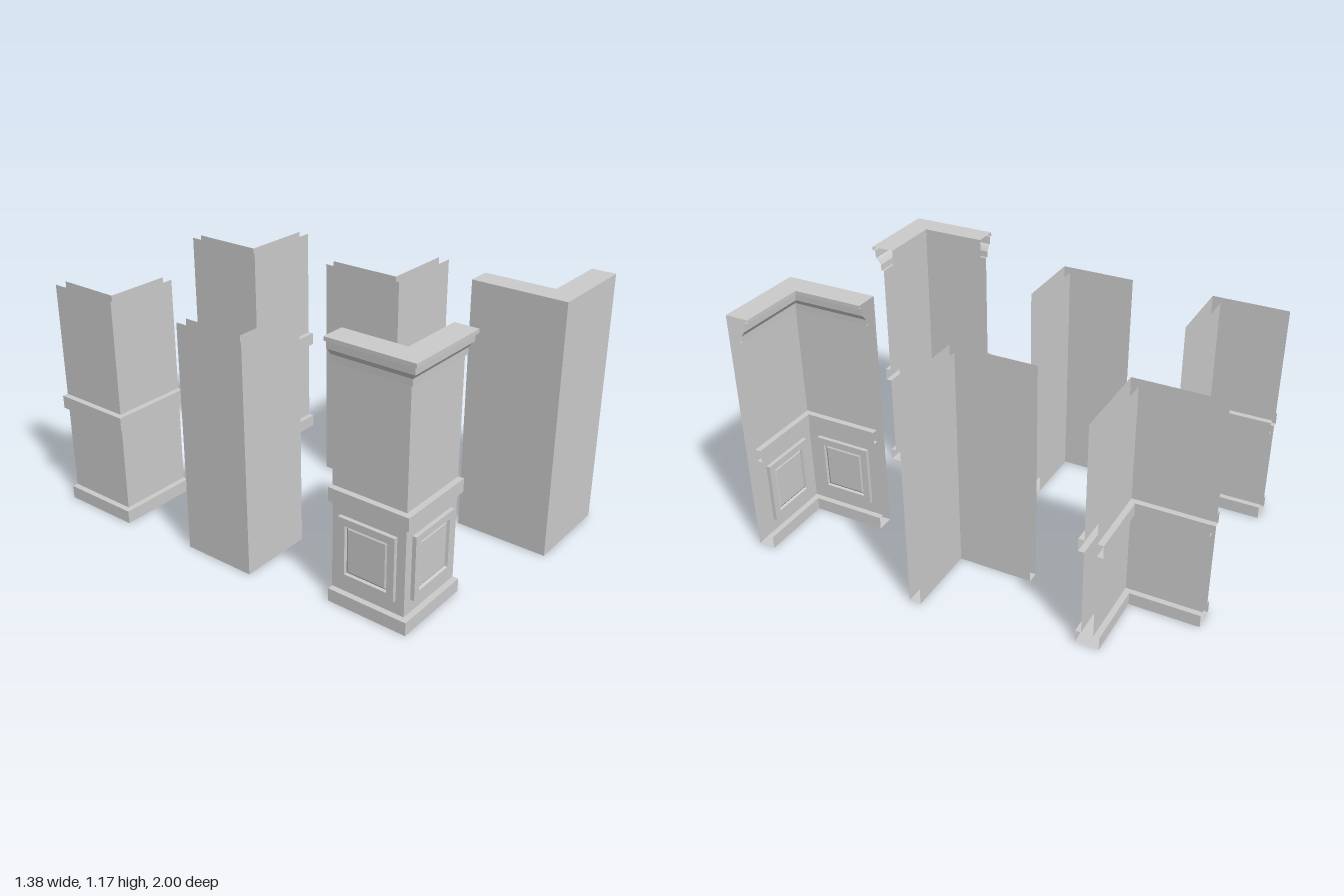
import * as THREE from 'three';

const material = new THREE.MeshStandardMaterial({ color: 0xcccccc, flatShading: true, side: THREE.DoubleSide });
const WALL = 0.054; // gap between the two sheets of a wall
const PROUD = 0.027; // how far the bands stand out
const HEIGHT = 1.055;

function meshFrom(triangles, name) {
  const geometry = new THREE.BufferGeometry();
  geometry.setAttribute('position', new THREE.Float32BufferAttribute(triangles, 3));
  geometry.computeVertexNormals();
  const mesh = new THREE.Mesh(geometry, material);
  mesh.name = name;
  return mesh;
}

function pushQuad(out, a, b, c, d) {
  for (const p of [a, b, c, a, c, d]) out.push(...p);
}

// Sweep a profile of [offset, height] points round an L-shaped plan, ends left open
function sweepCorner(profile, { x, z, endX, endZ }, name) {
  const sections = [
    ([d, y]) => [endX, y, z + d],
    ([d, y]) => [x - d, y, z + d],
    ([d, y]) => [x - d, y, endZ],
  ];
  const out = [];
  for (let j = 0; j < 2; j++) {
    for (let i = 0; i < profile.length - 1; i++) {
      const p = profile[i], q = profile[i + 1];
      pushQuad(out, sections[j](p), sections[j + 1](p), sections[j + 1](q), sections[j](q));
    }
  }
  return meshFrom(out, name);
}

// Raised moulded panel, made of nested rectangles [inset, depth], facing +z
function makePanel(name) {
  const rings = [[0, 0], [0, 0.018], [0.033, 0.018], [0.036, 0.005], [0.047, 0.012]];
  const corners = ([inset, depth]) => {
    const w = 0.135 - inset, h = 0.145 - inset;
    return [[-w, -h, depth], [w, -h, depth], [w, h, depth], [-w, h, depth]];
  };
  const out = [];
  for (let i = 0; i < rings.length - 1; i++) {
    const a = corners(rings[i]), b = corners(rings[i + 1]);
    for (let k = 0; k < 4; k++) {
      const n = (k + 1) % 4;
      pushQuad(out, a[k], a[n], b[n], b[k]);
    }
  }
  pushQuad(out, ...corners(rings[rings.length - 1]));
  return meshFrom(out, name);
}

// Side of a wall with a middle band and a base band, from the top down
const bandedSide = (face, proud) => [
  [face, HEIGHT], [face, 0.53], [proud, 0.53], [proud, 0.47],
  [face, 0.47], [face, 0.06], [proud, 0.06], [proud, 0],
];

// Open-topped wall with plain faces
const plainProfile = [[0, HEIGHT], [0, 0], [-WALL, 0], [-WALL, HEIGHT]];

// Open-topped wall with bands on both faces
const bandedProfile = [
  ...bandedSide(0, PROUD),
  ...bandedSide(-WALL, -WALL - PROUD).reverse(),
];

// Panelled wall: cornice, bands and base on one face, plain back sheet
const corniceProfile = [
  [0, 1.167], [0.109, 1.167], [0.109, 1.15], [0.095, 1.15], [0.093, 1.113],
  [0.084, 1.106], [0.076, 1.096], [0.068, 1.084], [0.067, 1.055],
  ...bandedSide(WALL, WALL + PROUD),
  [0, 0], [0, 1.167],
];

// side = 1 puts the decoration outside the corner, -1 inside it
function panelledCorner(plan, side, name) {
  const group = new THREE.Group();
  group.name = name;
  const profile = side > 0 ? corniceProfile : corniceProfile.map(([d, y]) => [-d, y]).reverse();
  group.add(sweepCorner(profile, plan, 'corniceWall'));

  const faceX = plan.x - side * WALL, faceZ = plan.z + side * WALL;
  const panelX = makePanel('panelAlongX');
  panelX.position.set((faceX + plan.endX) / 2, 0.265, faceZ);
  panelX.rotation.y = side > 0 ? 0 : Math.PI;
  const panelZ = makePanel('panelAlongZ');
  panelZ.position.set(faceX, 0.265, (faceZ + plan.endZ) / 2);
  panelZ.rotation.y = -side * Math.PI / 2;
  group.add(panelX, panelZ);
  return group;
}

export function createModel() {
  const model = new THREE.Group();
  model.name = 'wallCornerSet';
  model.add(
    // Front row: panelled corners
    panelledCorner({ x: -0.52, z: 0.762, endX: -0.22, endZ: 0.465 }, 1, 'outerPanelledCorner'),
    panelledCorner({ x: 0.23, z: 1.0, endX: 0.66, endZ: 0.565 }, -1, 'innerPanelledCorner'),
    // Middle row: plain corners
    sweepCorner(plainProfile, { x: -0.66, z: 0.09, endX: -0.31, endZ: -0.257 }, 'shortPlainCorner'),
    sweepCorner(plainProfile, { x: 0.28, z: 0.17, endX: 0.685, endZ: -0.235 }, 'longPlainCorner'),
    // Back row: banded corners
    sweepCorner(bandedProfile, { x: -0.664, z: -0.639, endX: -0.31, endZ: -0.99 }, 'shortBandedCorner'),
    sweepCorner(bandedProfile, { x: 0.196, z: -0.598, endX: 0.595, endZ: -1.0 }, 'longBandedCorner'),
  );
  return model;
}
